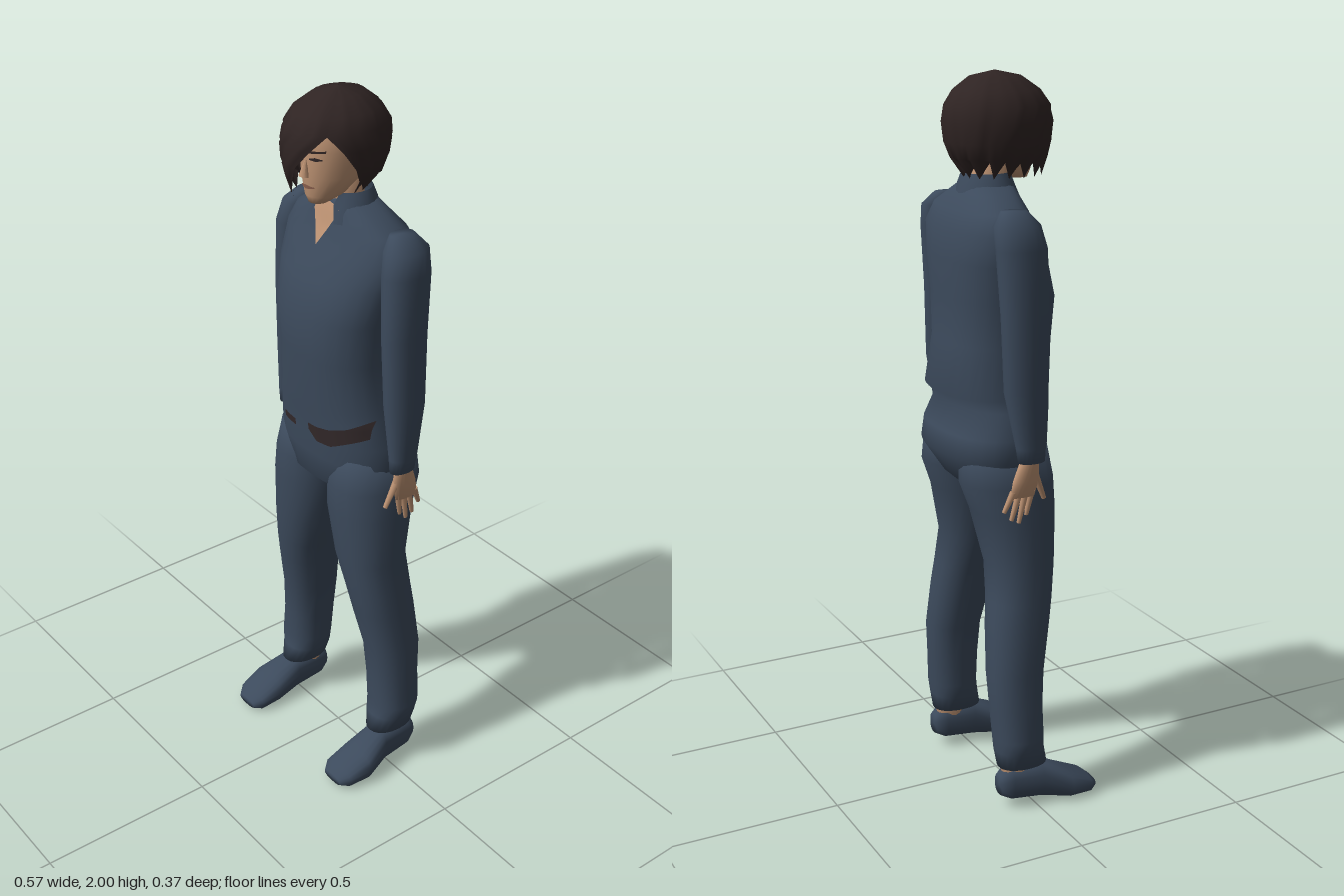
import * as THREE from 'three';

const mat = (name, color, side = THREE.FrontSide) => {
  const m = new THREE.MeshStandardMaterial({ color, side });
  m.name = name;
  return m;
};

// Superellipse helper: signed power
const sp = (v, p) => Math.sign(v) * Math.abs(v) ** p;

function build(pos, idx) {
  const g = new THREE.BufferGeometry();
  g.setAttribute('position', new THREE.Float32BufferAttribute(pos, 3));
  g.setIndex(idx);
  g.computeVertexNormals();
  return g;
}

// Closed body from stacked rings [y, cx, cz, rx, rz], listed bottom to top
function loft(rows, p = 1, n = 20) {
  const pos = [], idx = [];
  for (const [y, cx, cz, rx, rz] of rows)
    for (let i = 0; i < n; i++) {
      const t = (i / n) * Math.PI * 2;
      pos.push(cx + rx * sp(Math.cos(t), p), y, cz + rz * sp(Math.sin(t), p));
    }
  const last = rows.length - 1, top = last * n, c0 = rows.length * n;
  for (const r of [rows[0], rows[last]]) pos.push(r[1], r[0], r[2]);
  for (let i = 0; i < n; i++) {
    const k = (i + 1) % n;
    for (let j = 0; j < last; j++) {
      const a = j * n + i, b = j * n + k;
      idx.push(a, a + n, b, b, a + n, b + n);
    }
    idx.push(c0, i, k, c0 + 1, top + k, top + i);
  }
  return build(pos, idx);
}

// Open shell from arcs [y, cx, cz, rx, rz, startDeg, endDeg]; ripple makes locks
function shell(rows, n, ripple = 0) {
  const pos = [], idx = [];
  rows.forEach(([y, cx, cz, rx, rz, a0, a1], j) => {
    for (let i = 0; i <= n; i++) {
      const t = THREE.MathUtils.degToRad(a0 + ((a1 - a0) * i) / n);
      const k = 1 + ripple * (((i * 7) % 5) / 4 - 0.6);
      const drop = j === 0 ? ripple * 0.35 * ((i * 3) % 4) : 0;
      pos.push(cx + rx * k * Math.cos(t), y + drop, cz + rz * k * Math.sin(t));
      if (j && i < n) {
        const a = (j - 1) * (n + 1) + i, b = a + n + 1;
        idx.push(a, b, a + 1, a + 1, b, b + 1);
      }
    }
  });
  return build(pos, idx);
}

// Front surface depth of a loft at x, y
function depth(rows, p, x, y) {
  let j = 0;
  while (j < rows.length - 2 && rows[j + 1][0] < y) j++;
  const f = (y - rows[j][0]) / (rows[j + 1][0] - rows[j][0]);
  const [, cx, cz, rx, rz] = rows[j].map((v, i) => v + (rows[j + 1][i] - v) * f);
  const u = Math.min(1, Math.abs((x - cx) / rx));
  return cz + rz * (1 - u ** (2 / p)) ** (p / 2);
}

// Thin painted face lying on the front of a loft; columns are [x, yLow, yHigh]
function patch(rows, p, cols, lift = 0.004) {
  const pos = [], idx = [], m = 8, sub = 4;
  const steps = (cols.length - 1) * sub;
  for (let i = 0; i <= steps; i++) {
    const c = Math.min(Math.floor(i / sub), cols.length - 2), f = i / sub - c;
    const [x, lo, hi] = cols[c].map((v, k) => v + (cols[c + 1][k] - v) * f);
    for (let j = 0; j <= m; j++) {
      const y = lo + ((hi - lo) * j) / m;
      pos.push(x, y, depth(rows, p, x, y) + lift);
      if (i < steps && j < m) {
        const a = i * (m + 1) + j, b = a + m + 1;
        idx.push(a, b, a + 1, a + 1, b, b + 1);
      }
    }
  }
  return build(pos, idx);
}

// Tapered finger between two points
function finger(a, b, r) {
  const A = new THREE.Vector3(...a), B = new THREE.Vector3(...b);
  const g = new THREE.CylinderGeometry(r, r * 0.6, A.distanceTo(B), 7);
  const up = A.clone().sub(B).normalize();
  g.applyQuaternion(new THREE.Quaternion().setFromUnitVectors(new THREE.Vector3(0, 1, 0), up));
  return g.translate(...A.add(B).multiplyScalar(0.5).toArray());
}

const TORSO = [
  [0.88, 0, -0.02, 0.07, 0.07], [0.92, 0, -0.02, 0.19, 0.115], [1.0, 0, -0.04, 0.22, 0.145],
  [1.06, 0, -0.034, 0.215, 0.143], [1.13, 0, -0.015, 0.2, 0.13], [1.165, 0, -0.03, 0.195, 0.15],
  [1.3, 0, -0.016, 0.178, 0.146], [1.42, 0, -0.013, 0.195, 0.148], [1.52, 0, -0.03, 0.21, 0.135],
  [1.6, 0, -0.045, 0.22, 0.112], [1.65, 0, -0.045, 0.19, 0.092], [1.69, 0, -0.035, 0.12, 0.072],
  [1.72, 0, -0.03, 0.06, 0.058],
];
const HEAD = [
  [1.72, 0.004, 0.066, 0.025, 0.026], [1.74, 0.004, 0.045, 0.046, 0.055], [1.79, 0.003, 0.014, 0.07, 0.092],
  [1.86, 0, 0.003, 0.08, 0.106], [1.92, 0, 0, 0.074, 0.098], [1.96, 0, 0, 0.04, 0.06],
];
const ARM = [
  [1.01, 0.247, -0.023, 0.024, 0.038], [1.05, 0.247, -0.025, 0.029, 0.042], [1.2, 0.236, -0.035, 0.043, 0.06],
  [1.4, 0.23, -0.035, 0.046, 0.066], [1.57, 0.224, -0.042, 0.05, 0.07], [1.63, 0.212, -0.05, 0.048, 0.064],
  [1.665, 0.195, -0.05, 0.025, 0.035],
];
const LEG = [
  [0.12, 0.208, -0.027, 0.05, 0.072], [0.17, 0.206, -0.036, 0.066, 0.07], [0.21, 0.208, -0.04, 0.073, 0.07],
  [0.3, 0.2, -0.042, 0.068, 0.074], [0.4, 0.193, -0.042, 0.072, 0.08], [0.53, 0.173, -0.025, 0.079, 0.089],
  [0.6, 0.162, -0.015, 0.086, 0.09], [0.7, 0.141, -0.004, 0.096, 0.094], [0.85, 0.122, -0.015, 0.113, 0.115],
  [0.93, 0.117, -0.03, 0.11, 0.13], [1.02, 0.11, -0.035, 0.1, 0.12],
];
// Shoe runs along z: [z, cx, -cy, rx, ry]
const SHOE = [
  [-0.1, 0.212, -0.068, 0.025, 0.03], [-0.07, 0.212, -0.072, 0.042, 0.05], [0.02, 0.214, -0.068, 0.046, 0.056],
  [0.1, 0.222, -0.042, 0.064, 0.042], [0.165, 0.218, -0.026, 0.058, 0.026], [0.189, 0.217, -0.02, 0.036, 0.012],
];
// Hair opens over the left half of the face, with a long fringe on the right
const HAIR = [
  [1.728, -0.02, 0.012, 0.072, 0.108, 100, 350], [1.78, -0.015, 0.002, 0.106, 0.132, 92, 361],
  [1.82, -0.013, 0, 0.12, 0.145, 82, 370], [1.87, -0.012, -0.002, 0.126, 0.149, 62, 385],
  [1.912, -0.012, -0.003, 0.12, 0.144, 42, 402], [1.95, -0.012, -0.005, 0.1, 0.118, 42, 402],
  [1.985, -0.012, -0.008, 0.058, 0.07, 42, 402], [2.0, -0.012, -0.01, 0.001, 0.001, 42, 402],
];
const COLLAR = [
  [1.665, 0, -0.026, 0.098, 0.088, 118, 422], [1.71, 0, -0.03, 0.082, 0.074, 112, 428],
  [1.74, 0, -0.03, 0.066, 0.064, 124, 416],
];

export function createModel() {
  const model = new THREE.Group();
  const cloth = mat('navy cloth', 0x3c4a5c);
  const collarCloth = mat('navy collar cloth', 0x3c4a5c, THREE.DoubleSide);
  const skin = mat('skin', 0xbf9474);
  const hair = mat('dark brown hair', 0x2f2423, THREE.DoubleSide);
  const leather = mat('dark leather', 0x33292a);
  const lip = mat('lip', 0x8f6350);
  const add = (name, geo, m, parent = model) => {
    const mesh = new THREE.Mesh(geo, m);
    mesh.name = name;
    parent.add(mesh);
  };

  // Body and clothing
  add('torso', loft(TORSO, 0.85, 28), cloth);
  add('openNeckline', patch(TORSO, 0.85, [[-0.046, 1.685, 1.705], [0, 1.6, 1.715], [0.046, 1.685, 1.705]], 0.006), skin);
  add('collar', shell(COLLAR, 18), collarCloth);
  add('belt', patch(TORSO, 0.85, [[0.02, 1.08, 1.1], [0.05, 1.054, 1.1], [0.1, 1.056, 1.108],
    [0.15, 1.08, 1.125], [0.193, 1.1, 1.15]], 0.006), leather);
  add('buckle', patch(TORSO, 0.85, [[-0.1, 1.064, 1.084], [-0.04, 1.064, 1.084]], 0.006), leather);

  // Head
  add('neck', loft([[1.6, 0, -0.03, 0.05, 0.05], [1.7, 0, -0.022, 0.048, 0.05], [1.78, 0, -0.015, 0.05, 0.055]]), skin);
  add('head', loft(HEAD), skin);
  const nose = new THREE.ConeGeometry(0.014, 0.055, 6).rotateX(-0.2).translate(0.006, 1.822, 0.108);
  add('nose', nose, skin);
  add('mouth', patch(HEAD, 1, [[-0.018, 1.766, 1.769], [0.005, 1.761, 1.773], [0.03, 1.766, 1.769]], 0.003), lip);
  add('eye', patch(HEAD, 1, [[0.022, 1.842, 1.845], [0.036, 1.839, 1.849], [0.05, 1.842, 1.845]], 0.003), leather);
  add('eyebrow', patch(HEAD, 1, [[0.018, 1.858, 1.864], [0.056, 1.862, 1.867]], 0.003), hair);
  add('hair', shell(HAIR, 44, 0.04), hair);

  // Limbs on both sides
  for (const s of [1, -1]) {
    const side = s > 0 ? 'left' : 'right';
    const flip = rows => rows.map(([y, x, ...r]) => [y, x * s, ...r]);
    add(side + 'Arm', loft(flip(ARM), 0.95), cloth);
    add(side + 'Leg', loft(flip(LEG), 0.9), cloth);
    add(side + 'Ankle', loft(flip([[0.08, 0.21, -0.045, 0.036, 0.045], [0.15, 0.208, -0.045, 0.036, 0.045]])), skin);
    add(side + 'Shoe', loft(flip(SHOE), 0.8).rotateX(Math.PI / 2), cloth);

    const hand = new THREE.Group();
    hand.name = side + 'Hand';
    model.add(hand);
    add('palm', loft(flip([[0.915, 0.24, -0.046, 0.011, 0.036], [0.96, 0.242, -0.036, 0.016, 0.038],
      [1.03, 0.247, -0.025, 0.017, 0.024]])), skin, hand);
    for (let i = 0; i < 4; i++) {
      const z = -0.018 - i * 0.018, tip = [0.86, 0.84, 0.85, 0.875][i];
      add('finger', finger([s * 0.24, 0.93, z], [s * 0.232, tip, z - 0.012 - i * 0.004], 0.01), skin, hand);
    }
    add('thumb', finger([s * 0.243, 0.98, -0.012], [s * 0.235, 0.9, 0.022], 0.011), skin, hand);
  }
  return model;
}
